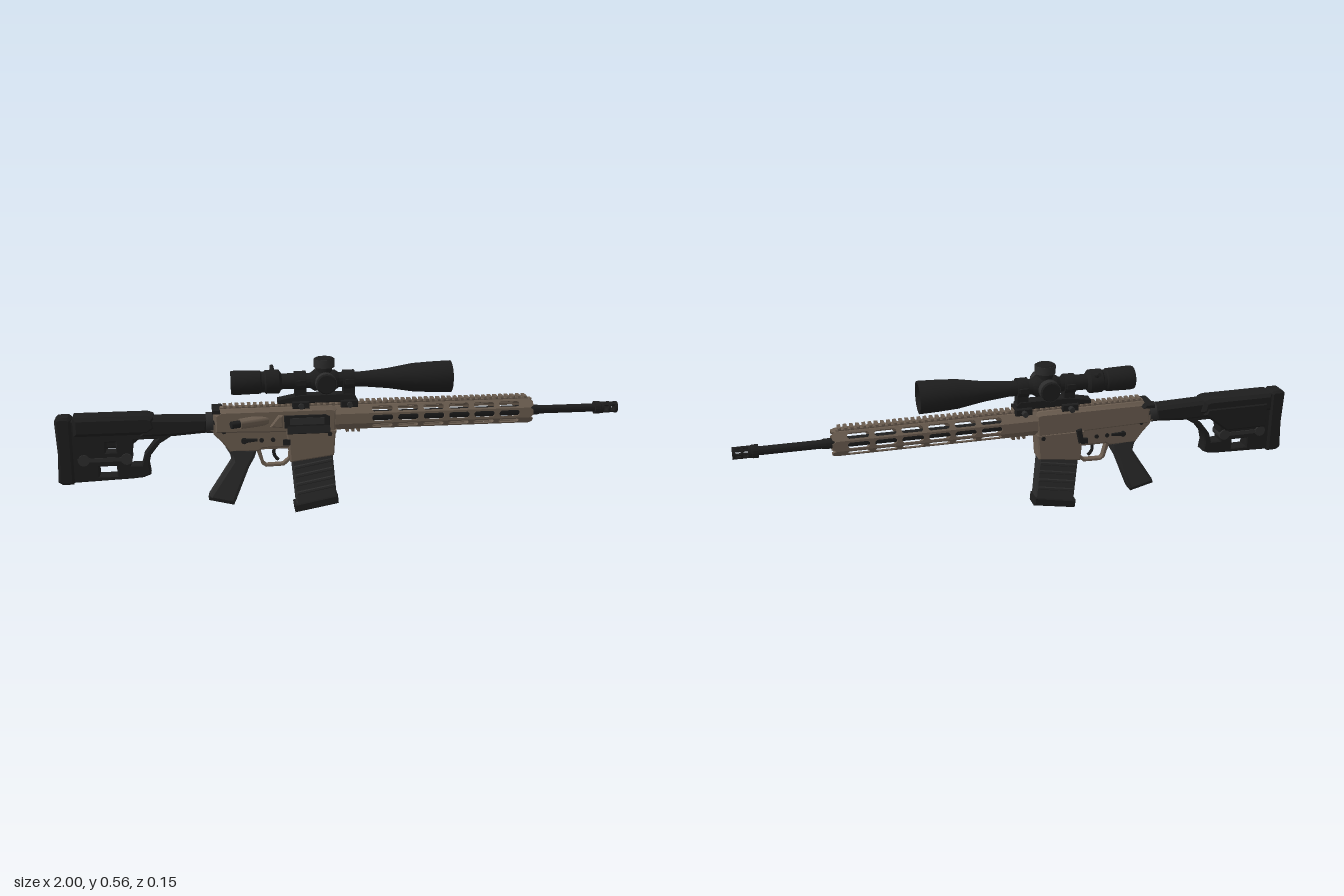
import * as THREE from 'three';
import { toCreasedNormals } from 'three/addons/utils/BufferGeometryUtils.js';

const mat = (c) => new THREE.MeshStandardMaterial({ color: c, side: THREE.DoubleSide });
const TAN = mat(0x6a5c4f), BLACK = mat(0x1d1d1d), DARK = mat(0x2c2c2c), GLASS = mat(0x0c0c0f);
const BORE = 0.342, SIGHT = 0.476;

export function createModel() {
  const root = new THREE.Group();
  root.name = 'rifle';
  let parent = root;

  const group = (name) => {
    parent = new THREE.Group();
    parent.name = name;
    root.add(parent);
  };
  const add = (name, geo, m, pos = [0, 0, 0]) => {
    const mesh = new THREE.Mesh(toCreasedNormals(geo, 0.6), m);
    mesh.name = name;
    mesh.position.set(...pos);
    parent.add(mesh);
    return mesh;
  };
  const shapeOf = (pts, holes = []) => {
    const s = new THREE.Shape(pts.map((p) => new THREE.Vector2(...p)));
    holes.forEach((h) => s.holes.push(new THREE.Path(h.map((p) => new THREE.Vector2(...p)))));
    return s;
  };
  // side profile in x/y, extruded from z0 to z1 with chamfered edges
  const plate = (name, m, pts, z0, z1, bevel = 0.004, holes = []) => {
    const geo = new THREE.ExtrudeGeometry(shapeOf(pts, holes), {
      depth: z1 - z0 - 2 * bevel, bevelEnabled: bevel > 0, bevelThickness: bevel,
      bevelSize: bevel, bevelOffset: -bevel, bevelSegments: 1,
    });
    return add(name, geo, m, [0, 0, z0 + bevel]);
  };
  const rect = (x0, x1, y0, y1) => [[x0, y0], [x1, y0], [x1, y1], [x0, y1]];
  const box = (name, m, x0, x1, y0, y1, z0, z1) =>
    add(name, new THREE.BoxGeometry(x1 - x0, y1 - y0, z1 - z0), m, [(x0 + x1) / 2, (y0 + y1) / 2, (z0 + z1) / 2]);
  // turned part along x from [x, radius] pairs
  const turned = (name, m, prof, y, seg = 16) => {
    const geo = new THREE.LatheGeometry(prof.map(([x, r]) => new THREE.Vector2(r, x)), seg);
    return add(name, geo.rotateZ(-Math.PI / 2), m, [0, y, 0]);
  };
  // cylinder between two points
  const rod = (name, m, a, b, r0, r1 = r0, seg = 12) => {
    const A = new THREE.Vector3(...a), d = new THREE.Vector3(...b).sub(A);
    const mesh = add(name, new THREE.CylinderGeometry(r1, r0, d.length(), seg), m);
    mesh.position.copy(A).addScaledVector(d, 0.5);
    mesh.quaternion.setFromUnitVectors(new THREE.Vector3(0, 1, 0), d.normalize());
    return mesh;
  };

  // Barrel and caged muzzle brake
  group('barrel');
  turned('barrelTube', BLACK, [[0, 0.018], [0.7, 0.018], [0.71, 0.015], [0.915, 0.015], [0.915, 0.023], [0.935, 0.023], [0.94, 0.019], [0.94, 0]], BORE);
  for (const [x0, x1] of [[0.935, 0.948], [0.964, 0.972], [0.99, 1]])
    turned('brakeRing', BLACK, [[x0, 0.01], [x0, 0.021], [x1, 0.021], [x1, 0.01], [x0, 0.01]], BORE);
  for (let i = 0; i < 4; i++) {
    const a = Math.PI / 4 + i * Math.PI / 2, y = BORE + 0.017 * Math.sin(a), z = 0.017 * Math.cos(a);
    rod('brakeBar', BLACK, [0.935, y, z], [0.998, y, z], 0.005, 0.005, 6);
  }

  // Octagonal handguard: one slotted panel per side
  group('handguard');
  const oct = [[0.018, 0.3], [0.041, 0.325], [0.041, 0.361], [0.02, 0.388],
    [-0.02, 0.388], [-0.041, 0.361], [-0.041, 0.325], [-0.018, 0.3]];
  const gx0 = -0.04, gx1 = 0.675, gl = gx1 - gx0;
  oct.forEach(([z, y], i) => {
    const [z2, y2] = oct[(i + 1) % 8];
    const w = Math.hypot(z2 - z, y2 - y), holes = [];
    const h = Math.min(w * 0.3, 0.011), c = w / 2;
    if (i !== 3) for (let k = 0; k < 6; k++) {
      const a = 0.13 + k * 0.092, b = a + 0.074, e = h * 0.6;
      holes.push([[a, c - h + e], [a + e, c - h], [b - e, c - h], [b, c - h + e],
        [b, c + h - e], [b - e, c + h], [a + e, c + h], [a, c + h - e]]);
    }
    const geo = new THREE.ExtrudeGeometry(
      shapeOf([[0, 0], [gl - 0.012, 0], [gl, c * 0.5], [gl, c * 1.5], [gl - 0.012, w], [0, w]], holes),
      { depth: 0.005, bevelEnabled: false });
    const e = new THREE.Vector3(0, (y2 - y) / w, (z2 - z) / w), n = new THREE.Vector3(0, -e.z, e.y);
    geo.translate(0, 0, -0.005);
    geo.applyMatrix4(new THREE.Matrix4().makeBasis(new THREE.Vector3(1, 0, 0), e, n).setPosition(gx0, y, z));
    add('handguardPanel', geo, TAN);
  });
  turned('barrelNut', TAN, [[-0.04, 0], [-0.04, 0.036], [0.06, 0.036], [0.06, 0]], BORE);
  for (let x = 0; x < 0.06; x += 0.02) box('lowerRib', TAN, x, x + 0.01, 0.29, 0.301, -0.018, 0.018);

  // Toothed top rail
  group('topRail');
  box('railBase', TAN, -0.44, 0.66, 0.382, 0.392, -0.014, 0.014);
  for (let x = -0.43; x < 0.65; x += 0.021)
    plate('railTooth', TAN, rect(x, x + 0.012, 0.39, 0.401), -0.019, 0.019, 0.002);

  // Upper receiver with ejection port
  group('upperReceiver');
  plate('upperBody', TAN, [[-0.465, 0.3], [-0.035, 0.29], [-0.03, 0.38], [-0.05, 0.388], [-0.44, 0.388], [-0.465, 0.372]], -0.036, 0.036, 0.012);
  plate('ejectionPort', BLACK, [[-0.22, 0.315], [-0.06, 0.315], [-0.06, 0.355], [-0.075, 0.362], [-0.22, 0.362]], 0.03, 0.038, 0.002);
  box('boltCarrier', DARK, -0.2, -0.08, 0.328, 0.352, 0.034, 0.041);
  const door = box('portDoor', BLACK, -0.21, -0.06, 0.297, 0.324, 0.043, 0.048);
  door.rotation.x = -0.5;
  plate('brassDeflector', TAN, [[-0.27, 0.325], [-0.225, 0.32], [-0.225, 0.365], [-0.24, 0.365]], 0.03, 0.05, 0.005);
  rod('forwardAssist', TAN, [-0.28, 0.345, 0.02], [-0.375, 0.343, 0.055], 0.02, 0.018);
  rod('assistButton', BLACK, [-0.37, 0.343, 0.053], [-0.405, 0.342, 0.066], 0.013);
  box('chargingHandle', BLACK, -0.468, -0.44, 0.374, 0.387, -0.045, 0.035);
  plate('chargingLatch', BLACK, [[-0.468, 0.374], [-0.425, 0.374], [-0.435, 0.388], [-0.468, 0.388]], -0.063, -0.034, 0.003);

  // Lower receiver, magazine well, trigger
  group('lowerReceiver');
  plate('lowerBody', TAN, [[-0.47, 0.335], [-0.465, 0.3], [-0.44, 0.275], [-0.41, 0.235], [-0.31, 0.235], [-0.295, 0.245],
    [-0.19, 0.245], [-0.19, 0.31], [-0.47, 0.32]], -0.031, 0.031, 0.005);
  plate('magazineWell', TAN, [[-0.2, 0.19], [-0.045, 0.21], [-0.04, 0.285], [-0.035, 0.305], [-0.215, 0.305], [-0.205, 0.25]], -0.037, 0.037, 0.005);
  plate('triggerGuard', TAN, [[-0.32, 0.24], [-0.3, 0.18], [-0.285, 0.17], [-0.22, 0.172], [-0.195, 0.195], [-0.195, 0.25]], -0.012, 0.012, 0.002,
    [[[-0.303, 0.235], [-0.203, 0.235], [-0.205, 0.2], [-0.225, 0.182], [-0.283, 0.18], [-0.291, 0.187]]]);
  const trig = new THREE.CatmullRomCurve3([[-0.25, 0.25], [-0.256, 0.22], [-0.25, 0.203], [-0.24, 0.192]].map(([x, y]) => new THREE.Vector3(x, y, 0)));
  add('trigger', new THREE.TubeGeometry(trig, 8, 0.006, 8), BLACK);
  for (const s of [1, -1]) {
    for (const [x, y] of [[-0.43, 0.31], [-0.3, 0.275], [-0.26, 0.275], [-0.06, 0.29]])
      rod('pin', BLACK, [x, y, s * 0.025], [x, y, s * (x > -0.1 ? 0.039 : 0.034)], 0.008);
    rod('selectorHub', BLACK, [-0.36, 0.275, s * 0.028], [-0.36, 0.275, s * 0.037], 0.011);
    plate('selectorLever', BLACK, [[-0.365, 0.268], [-0.315, 0.274], [-0.315, 0.282], [-0.365, 0.284]], s * 0.037 - 0.004, s * 0.037 + 0.004, 0.001);
    box('magazineRelease', BLACK, -0.225, -0.2, 0.255, 0.275, s * 0.034 - 0.006, s * 0.034 + 0.006);
  }
  plate('boltCatch', BLACK, [[-0.21, 0.26], [-0.19, 0.26], [-0.18, 0.31], [-0.2, 0.315]], -0.045, -0.03, 0.003);

  // Magazine with ribs and floor plate
  group('magazine');
  plate('magazineBody', DARK, [[-0.195, 0.25], [-0.05, 0.25], [-0.048, 0.2], [-0.034, 0.045], [-0.178, 0.015], [-0.194, 0.19]], -0.028, 0.028, 0.005);
  for (let i = 0; i < 4; i++) {
    const y = 0.065 + i * 0.032, x = -0.178 - i * 0.003;
    plate('magazineRib', DARK, [[x, y], [x + 0.137, y + 0.025], [x + 0.136, y + 0.038], [x - 0.001, y + 0.013]], -0.031, 0.031, 0.003);
  }
  plate('floorPlate', BLACK, [[-0.188, 0.03], [-0.184, 0], [-0.028, 0.028], [-0.031, 0.06]], -0.032, 0.032, 0.005);

  // Pistol grip
  group('grip');
  plate('gripBody', DARK, [[-0.425, 0.25], [-0.315, 0.242], [-0.325, 0.21], [-0.345, 0.175], [-0.395, 0.05], [-0.405, 0.042],
    [-0.485, 0.062], [-0.487, 0.075], [-0.405, 0.2], [-0.41, 0.225]], -0.029, 0.029, 0.011);
  plate('gripCap', BLACK, [[-0.49, 0.06], [-0.402, 0.038], [-0.396, 0.05], [-0.487, 0.073]], -0.025, 0.025, 0.003);

  // Skeleton stock
  group('stock');
  turned('bufferTube', BLACK, [[-0.7, 0], [-0.7, 0.03], [-0.46, 0.03], [-0.46, 0]], 0.335);
  turned('endNut', DARK, [[-0.49, 0], [-0.49, 0.037], [-0.465, 0.037], [-0.465, 0]], 0.337);
  plate('stockNeck', BLACK, [[-0.72, 0.3], [-0.6, 0.3], [-0.485, 0.308], [-0.48, 0.362], [-0.7, 0.368]], -0.036, 0.036, 0.012);
  plate('stockFrame', BLACK, [[-0.95, 0.365], [-0.67, 0.365], [-0.56, 0.33], [-0.56, 0.305], [-0.61, 0.3], [-0.65, 0.275], [-0.682, 0.235],
    [-0.69, 0.2], [-0.685, 0.165], [-0.71, 0.155], [-0.75, 0.152], [-0.95, 0.145]], -0.027, 0.027, 0.004,
  [[[-0.752, 0.2], [-0.715, 0.2], [-0.705, 0.235], [-0.67, 0.28], [-0.655, 0.292], [-0.738, 0.292]],
    [[-0.86, 0.165], [-0.8, 0.165], [-0.8, 0.2], [-0.86, 0.2]],
    [[-0.835, 0.25], [-0.8, 0.25], [-0.8, 0.285], [-0.835, 0.285]]]);
  box('adjusterRod', DARK, -0.93, -0.75, 0.218, 0.232, -0.031, 0.031);
  for (const x of [-0.91, -0.765]) rod('adjusterWheel', DARK, [x, 0.225, -0.033], [x, 0.225, 0.033], 0.02);
  plate('cheekRest', BLACK, [[-0.94, 0.31], [-0.69, 0.31], [-0.66, 0.33], [-0.67, 0.37], [-0.69, 0.377], [-0.94, 0.377]], -0.053, 0.04, 0.012);
  plate('cheekPanel', BLACK, [[-0.92, 0.25], [-0.76, 0.25], [-0.67, 0.32], [-0.68, 0.345], [-0.92, 0.345]], -0.057, -0.02, 0.007);
  plate('buttPad', BLACK, [[-0.985, 0.14], [-0.948, 0.14], [-0.945, 0.15], [-0.945, 0.37], [-0.955, 0.378], [-0.99, 0.378],
    [-1, 0.368], [-0.995, 0.25], [-1, 0.15]], -0.035, 0.035, 0.008);

  // Telescopic sight
  group('scope');
  turned('scopeBody', BLACK, [[-0.385, 0], [-0.385, 0.034], [-0.4, 0.037], [-0.4, 0.041], [-0.385, 0.043], [-0.3, 0.041], [-0.295, 0.037],
    [-0.285, 0.037], [-0.28, 0.042], [-0.235, 0.042], [-0.225, 0.028], [-0.125, 0.027], [-0.11, 0.037], [-0.04, 0.037], [-0.025, 0.027],
    [0.06, 0.027], [0.15, 0.036], [0.24, 0.051], [0.31, 0.055], [0.375, 0.057], [0.375, 0.05], [0.345, 0.049], [0.345, 0]], SIGHT);
  turned('frontLens', GLASS, [[0.34, 0.049], [0.35, 0.035], [0.354, 0]], SIGHT);
  rod('zoomLever', BLACK, [-0.255, SIGHT + 0.03, -0.028], [-0.255, SIGHT + 0.042, -0.06], 0.009, 0.007, 8);
  const knob = (name, dy, dz, h) => {
    const at = (t) => [-0.075, SIGHT + dy * t, dz * t];
    rod(name + 'Base', BLACK, at(0.02), at(h - 0.03), 0.028, 0.028, 16);
    rod(name, DARK, at(h - 0.032), at(h - 0.004), 0.037, 0.037, 16);
    rod(name + 'Cap', BLACK, at(h - 0.004), at(h), 0.035, 0.031, 16);
  };
  knob('elevationTurret', 1, 0, 0.08);
  knob('windageTurret', 0, 1, 0.073);
  knob('focusTurret', 0, -1, 0.075);

  // Scope mount
  group('scopeMount');
  plate('mountBase', BLACK, [[-0.24, 0.4], [0.035, 0.4], [0.035, 0.418], [0.02, 0.43], [-0.16, 0.43], [-0.24, 0.415]], -0.022, 0.022, 0.003);
  for (const x of [-0.16, 0.01]) {
    turned('mountRing', BLACK, [[x - 0.02, 0.024], [x - 0.02, 0.035], [x + 0.02, 0.035], [x + 0.02, 0.024]], SIGHT);
    box('ringFoot', BLACK, x - 0.02, x + 0.02, 0.415, 0.452, -0.02, 0.02);
    plate('railClamp', BLACK, rect(x - 0.03, x + 0.03, 0.383, 0.408), -0.035, 0.035, 0.003);
    rod('clampBolt', DARK, [x, 0.394, -0.056], [x, 0.394, 0.048], 0.01, 0.01, 8);
    for (const s of [1, -1]) box('ringLug', BLACK, x - 0.016, x + 0.016, SIGHT - 0.008, SIGHT + 0.008, s * 0.035 - 0.007, s * 0.035 + 0.007);
  }

  root.children.forEach((g) => { g.position.z = -0.003; });
  return root;
}
